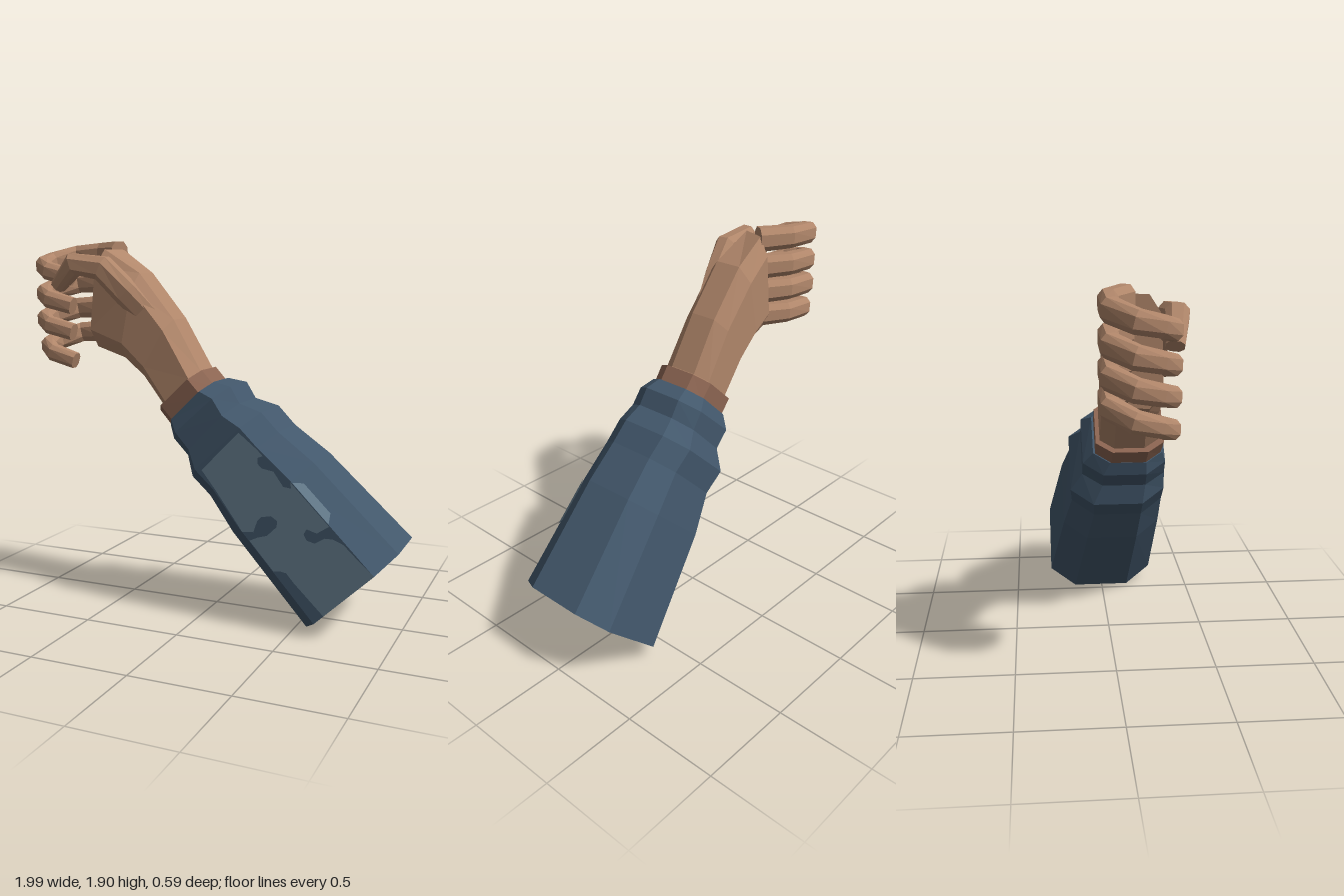
import * as THREE from 'three';

const V = (x, y, z) => new THREE.Vector3(x, y, z);
const mat = (name, color) => {
  const m = new THREE.MeshStandardMaterial({ color });
  m.name = name;
  return m;
};

// Chamfered eight-sided cross-section spanned by half-axes a and b
function ring(c, a, b, ca, cb) {
  const p = 1 - ca, q = 1 - cb;
  return [[1, -q], [1, q], [p, 1], [-p, 1], [-1, q], [-1, -q], [-p, -1], [p, -1]]
    .map(([s, t]) => c.clone().addScaledVector(a, s).addScaledVector(b, t));
}

// Faceted closed skin through a list of rings, with end caps
function loft(rings) {
  const tris = [], n = rings[0].length;
  for (let i = 0; i < rings.length - 1; i++) {
    for (let j = 0; j < n; j++) {
      const k = (j + 1) % n, r = rings[i], s = rings[i + 1];
      tris.push([r[j], r[k], s[k]], [r[j], s[k], s[j]]);
    }
  }
  const first = rings[0], last = rings[rings.length - 1];
  for (let j = 1; j < n - 1; j++) {
    tris.push([first[0], first[j + 1], first[j]], [last[0], last[j], last[j + 1]]);
  }
  // Signed volume decides which way the faces turn
  let vol = 0;
  for (const [a, b, c] of tris) vol += a.dot(b.clone().cross(c));
  const pts = tris.flatMap(([a, b, c]) => (vol > 0 ? [a, b, c] : [a, c, b]));
  const g = new THREE.BufferGeometry().setFromPoints(pts);
  g.computeVertexNormals();
  return g;
}

// Section across the arm: upper and lower edge points, front and back depth, sideways skew
function armRing([ux, uy, lx, ly, zf, zb, skew = 0]) {
  return ring(
    V((ux + lx) / 2, (uy + ly) / 2, (zf + zb) / 2),
    V((ux - lx) / 2, (uy - ly) / 2, 0),
    V(skew, 0, (zf - zb) / 2), 0.36, 0.48);
}

// Finger-like limb along a path, sizes = [half height, half thickness] per point
function limb(path, ref, sizes) {
  return loft(path.map((p, i) => {
    const t = path[Math.min(i + 1, path.length - 1)].clone()
      .sub(path[Math.max(i - 1, 0)]).normalize();
    const a = ref.clone().addScaledVector(t, -ref.dot(t)).normalize();
    const b = t.clone().cross(a);
    return ring(p, a.multiplyScalar(sizes[i][0]), b.multiplyScalar(sizes[i][1]), 0.5, 0.5);
  }));
}

export function createModel() {
  const model = new THREE.Group();
  const skin = mat('skin', 0xb0866a);
  const wristSkin = mat('wrist brown', 0x8c6552);
  const cloth = mat('sleeve blue', 0x42576b);
  const patchMat = mat('pale patch blue', 0x647b8b);
  const add = (name, geo, m, parent = model) => {
    const mesh = new THREE.Mesh(geo, m);
    mesh.name = name;
    parent.add(mesh);
    return mesh;
  };

  // Sleeve with folds near the cuff
  const sleeve = [
    [1.0, 0.43, 0.55, 0.0, 0.29, -0.3],
    [0.58, 0.84, 0.16, 0.45, 0.29, -0.23],
    [0.4, 0.98, 0.04, 0.63, 0.29, -0.19],
    [0.31, 1.07, -0.06, 0.72, 0.29, -0.2],
    [0.2, 1.11, -0.08, 0.83, 0.285, -0.14],
    [0.15, 1.19, -0.16, 0.91, 0.28, -0.14],
    [0.06, 1.21, -0.18, 0.98, 0.26, -0.09],
  ].map(armRing);
  add('sleeve', loft(sleeve), cloth);

  // Pale patch with rounded notches on the front of the sleeve
  const outline = [
    [0.24, 0.985], [0.045, 0.785], [0.12, 0.69], [0.24, 0.525], [0.26, 0.495],
    [0.32, 0.5], [0.34, 0.56], [0.36, 0.58], [0.41, 0.59], [0.44, 0.57], [0.44, 0.54],
    [0.39, 0.49], [0.34, 0.475], [0.3, 0.455], [0.425, 0.315], [0.46, 0.32],
    [0.49, 0.315], [0.53, 0.27], [0.68, 0.125], [0.92, 0.355], [0.84, 0.425],
    [0.77, 0.49], [0.72, 0.51], [0.68, 0.51], [0.63, 0.48], [0.59, 0.49],
    [0.575, 0.52], [0.59, 0.545], [0.64, 0.53], [0.7, 0.57], [0.505, 0.765],
    [0.51, 0.735], [0.47, 0.74], [0.42, 0.81], [0.36, 0.82], [0.34, 0.84],
    [0.34, 0.87], [0.365, 0.88], [0.335, 0.91],
  ].map(([x, y]) => new THREE.Vector2(x, y));
  const patch = add('sleevePatch', new THREE.ShapeGeometry(new THREE.Shape(outline)), patchMat);
  patch.position.z = 0.294;

  // Small part of the patch that wraps over the upper bevel
  const onBevel = (t, k) => {
    const front = sleeve[1][2].clone().lerp(sleeve[0][2], t);
    const top = sleeve[1][1].clone().lerp(sleeve[0][1], t);
    return front.lerp(top, k).add(V(0.002, 0.002, 0.004));
  };
  const [a, b, c, d] = [onBevel(0.02, 0), onBevel(0.46, 0), onBevel(0.4, 0.28), onBevel(0.08, 0.28)];
  const wrap = new THREE.BufferGeometry().setFromPoints([a, b, c, a, c, d]);
  wrap.computeVertexNormals();
  add('patchWrap', wrap, patchMat);

  // Wrist band between sleeve and hand
  add('wristBand', loft([
    [0.07, 1.18, -0.17, 0.97, 0.25, -0.08],
    [-0.005, 1.265, -0.235, 1.05, 0.26, -0.08],
  ].map(armRing)), wristSkin);

  // Palm
  add('palm', loft([
    [0.02, 1.22, -0.18, 1.03, 0.23, -0.06],
    [-0.02, 1.26, -0.22, 1.07, 0.23, -0.06],
    [-0.17, 1.51, -0.34, 1.22, 0.22, -0.06],
    [-0.36, 1.74, -0.45, 1.31, 0.22, -0.06],
    [-0.55, 1.86, -0.6, 1.36, 0.19, -0.05, -0.04],
  ].map(armRing)), skin);

  // Four fingers curling round to the front, each drooping toward its tip
  const curl = [[-0.54, 0.03], [-0.69, -0.058], [-0.85, -0.062], [-0.945, 0.04],
    [-0.94, 0.14], [-0.87, 0.2], [-0.73, 0.195]];
  const drop = [0, 0, 0.01, 0.045, 0.065, 0.09, 0.125];
  const fingers = new THREE.Group();
  fingers.name = 'fingers';
  model.add(fingers);
  ['index', 'middle', 'ring', 'little'].forEach((name, i) => {
    const y = [1.84, 1.695, 1.56, 1.43][i];
    const k = i === 3 ? 0.95 : 1;
    const path = curl.map(([x, z], j) =>
      V(-0.54 + (x + 0.54) * k, y - drop[j] * (i === 3 ? 1.15 : 1), z));
    const sizes = curl.map((_, j) => [(j === 0 ? 0.062 : 0.06 - j * 0.003) * k, 0.048 - j * 0.002]);
    add(name + 'Finger', limb(path, V(0, 1, 0), sizes), skin, fingers);
  });

  // Thumb bending over the front
  add('thumb', limb(
    [V(-0.3, 1.52, 0.17), V(-0.41, 1.64, 0.2), V(-0.53, 1.765, 0.232),
      V(-0.69, 1.785, 0.237), V(-0.805, 1.67, 0.215)],
    V(0, 0, 1),
    [[0.04, 0.06], [0.05, 0.065], [0.055, 0.062], [0.053, 0.057], [0.04, 0.036]]), skin);

  return model;
}
